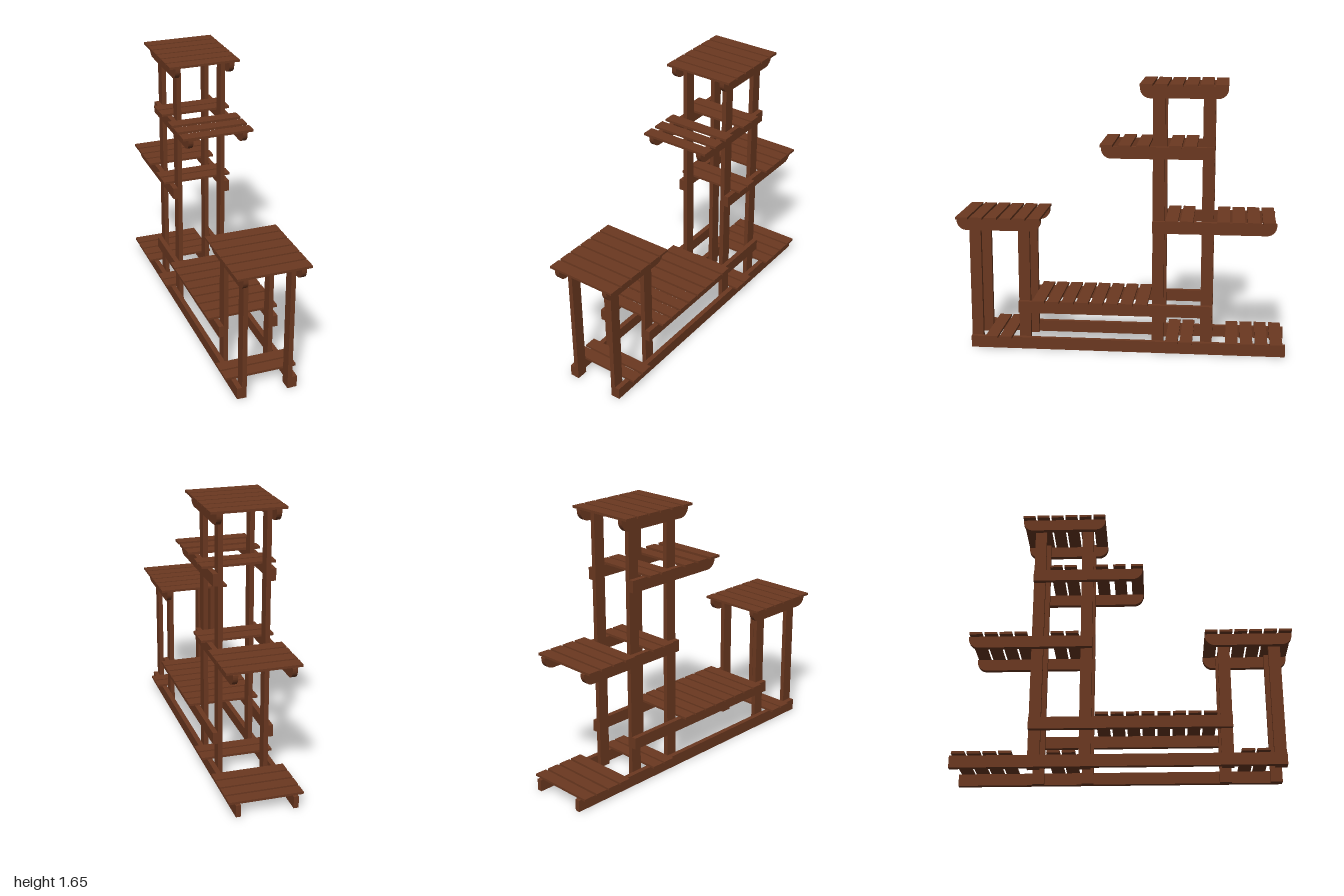
import * as THREE from 'three';
import { toCreasedNormals } from 'three/addons/utils/BufferGeometryUtils.js';

const wood = new THREE.MeshStandardMaterial({ color: 0x6b3820 });
wood.name = 'brown wood';

const RAIL_H = 0.072, SLAT_W = 0.075, SLAT_T = 0.014;

// Side board from z = back to z = front, optionally rounded at its lower ends
function railGeometry(back, front, top, roundBack, roundFront) {
  const y0 = top - RAIL_H, r = 0.06;
  const s = new THREE.Shape();
  s.moveTo(back, top);
  if (roundBack) {
    s.lineTo(back, y0 + r);
    s.absarc(back + r, y0 + r, r, Math.PI, Math.PI * 1.5, false);
  } else s.lineTo(back, y0);
  if (roundFront) {
    s.lineTo(front - r, y0);
    s.absarc(front - r, y0 + r, r, -Math.PI / 2, 0, false);
  } else s.lineTo(front, y0);
  s.lineTo(front, top);
  s.closePath();
  const g = new THREE.ExtrudeGeometry(s, { depth: 0.03, bevelEnabled: false, curveSegments: 12 });
  g.rotateY(-Math.PI / 2);
  g.translate(0.015, 0, 0);
  return toCreasedNormals(g, 0.6);
}

// Each tier: rail extent, rail top, rounded ends, and slat runs [first front edge, count, pitch]
const tiers = [
  { name: 'base', back: -1, front: 0.93, top: 0.073,
    runs: [[0.833, 2, 0.088], [-0.275, 2, 0.088], [-0.638, 4, 0.09]] },
  { name: 'lowShelf', back: -0.555, front: 0.63, top: 0.304, runs: [[0.54, 8, 0.09]] },
  { name: 'rearShelf', back: -0.93, front: -0.19, top: 0.825, roundBack: true,
    runs: [[-0.27, 2, 0.09], [-0.577, 4, 0.09]] },
  { name: 'forwardShelf', back: -0.555, front: 0.115, top: 1.275, roundFront: true,
    runs: [[0.12, 3, 0.108], [-0.288, 2, 0.088]] },
  { name: 'topShelf', back: -0.63, front: -0.115, top: 1.634, roundBack: true, roundFront: true,
    runs: [[-0.115, 6, 0.088]] },
  { name: 'frontShelf', back: 0.485, front: 1, top: 0.82, roundBack: true, roundFront: true,
    runs: [[1, 6, 0.088]] },
];

export function createModel() {
  const model = new THREE.Group();
  model.name = 'plantStand';

  // Shelves: a rail on each side with slats laid across
  const slatGeo = new THREE.BoxGeometry(0.44, SLAT_T, SLAT_W);
  for (const t of tiers) {
    const shelf = new THREE.Group();
    shelf.name = t.name;
    const railGeo = railGeometry(t.back, t.front, t.top, t.roundBack, t.roundFront);
    for (const side of [-1, 1]) {
      const rail = new THREE.Mesh(railGeo, wood);
      rail.name = side > 0 ? 'leftRail' : 'rightRail';
      rail.position.x = side * 0.17;
      shelf.add(rail);
    }
    for (const [start, count, pitch] of t.runs) {
      for (let i = 0; i < count; i++) {
        const slat = new THREE.Mesh(slatGeo, wood);
        slat.name = 'slat';
        slat.position.set(0, t.top + SLAT_T / 2, start - SLAT_W / 2 - i * pitch);
        shelf.add(slat);
      }
    }
    model.add(shelf);
  }

  // Upright posts inside the rails: [z centre, height]
  for (const [z, h] of [[0.895, 0.82], [0.595, 0.82], [-0.225, 1.634], [-0.52, 1.634]]) {
    const geo = new THREE.BoxGeometry(0.028, h, 0.07);
    for (const side of [-1, 1]) {
      const post = new THREE.Mesh(geo, wood);
      post.name = side > 0 ? 'leftPost' : 'rightPost';
      post.position.set(side * 0.141, h / 2, z);
      model.add(post);
    }
  }
  return model;
}
